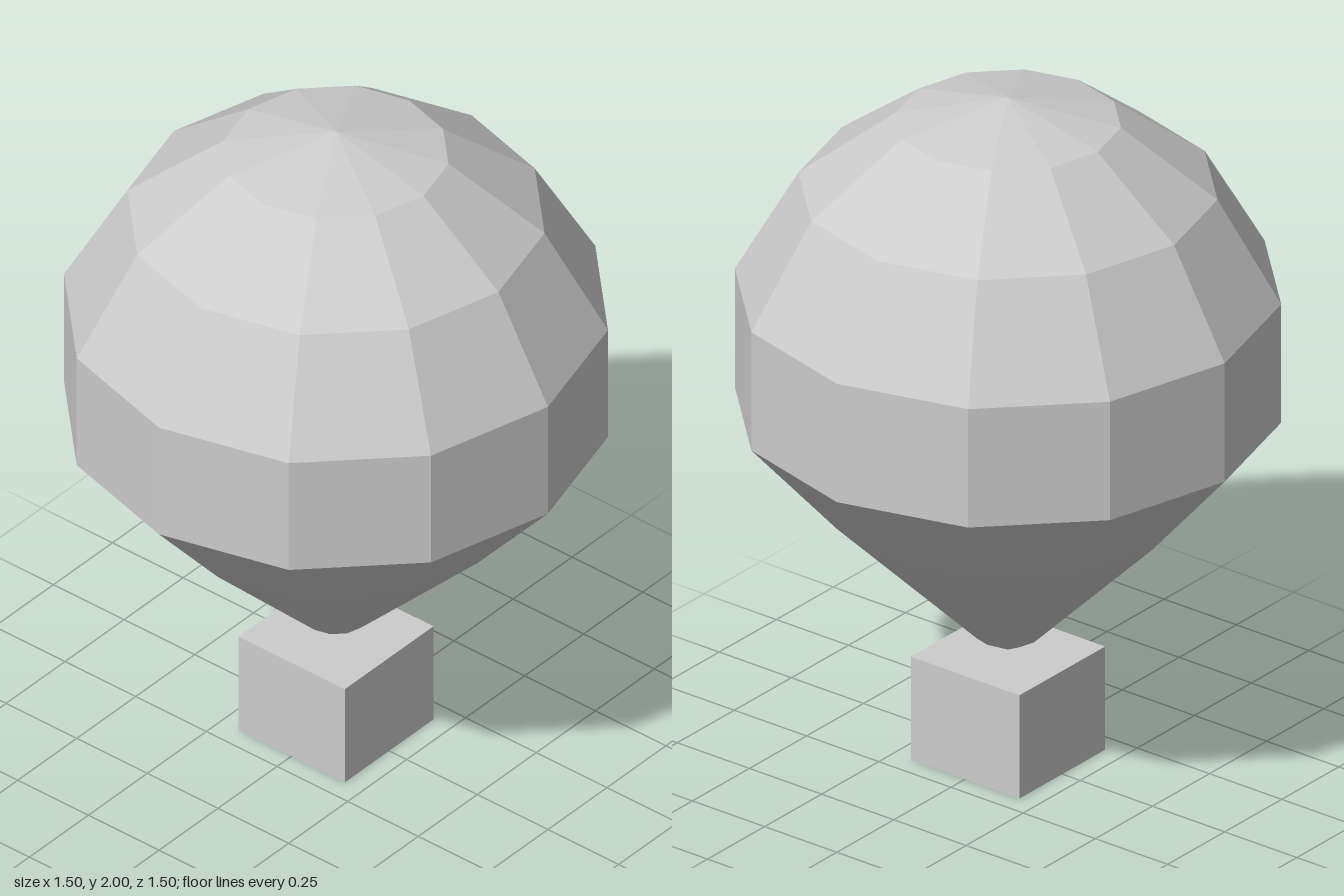
import * as THREE from 'three';

export function createModel() {
  const model = new THREE.Group();
  model.name = 'hotAirBalloon';

  const grey = new THREE.MeshStandardMaterial({ color: 0xcccccc, flatShading: true });
  grey.name = 'light grey';

  // Twelve-sided envelope: pointed mouth, flaring cone, straight band, domed crown
  const profile = [
    [0, 0.32], [0.09, 0.37], [0.5, 0.78], [0.75, 1.065],
    [0.75, 1.425], [0.575, 1.73], [0.31, 1.93], [0, 2],
  ].map(([r, y]) => new THREE.Vector2(r, y));
  const envelope = new THREE.Mesh(new THREE.LatheGeometry(profile, 12), grey);
  envelope.name = 'envelope';
  model.add(envelope);

  // Plain box basket just under the mouth
  const basket = new THREE.Mesh(new THREE.BoxGeometry(0.376, 0.314, 0.376), grey);
  basket.name = 'basket';
  basket.position.y = 0.157;
  model.add(basket);

  return model;
}
